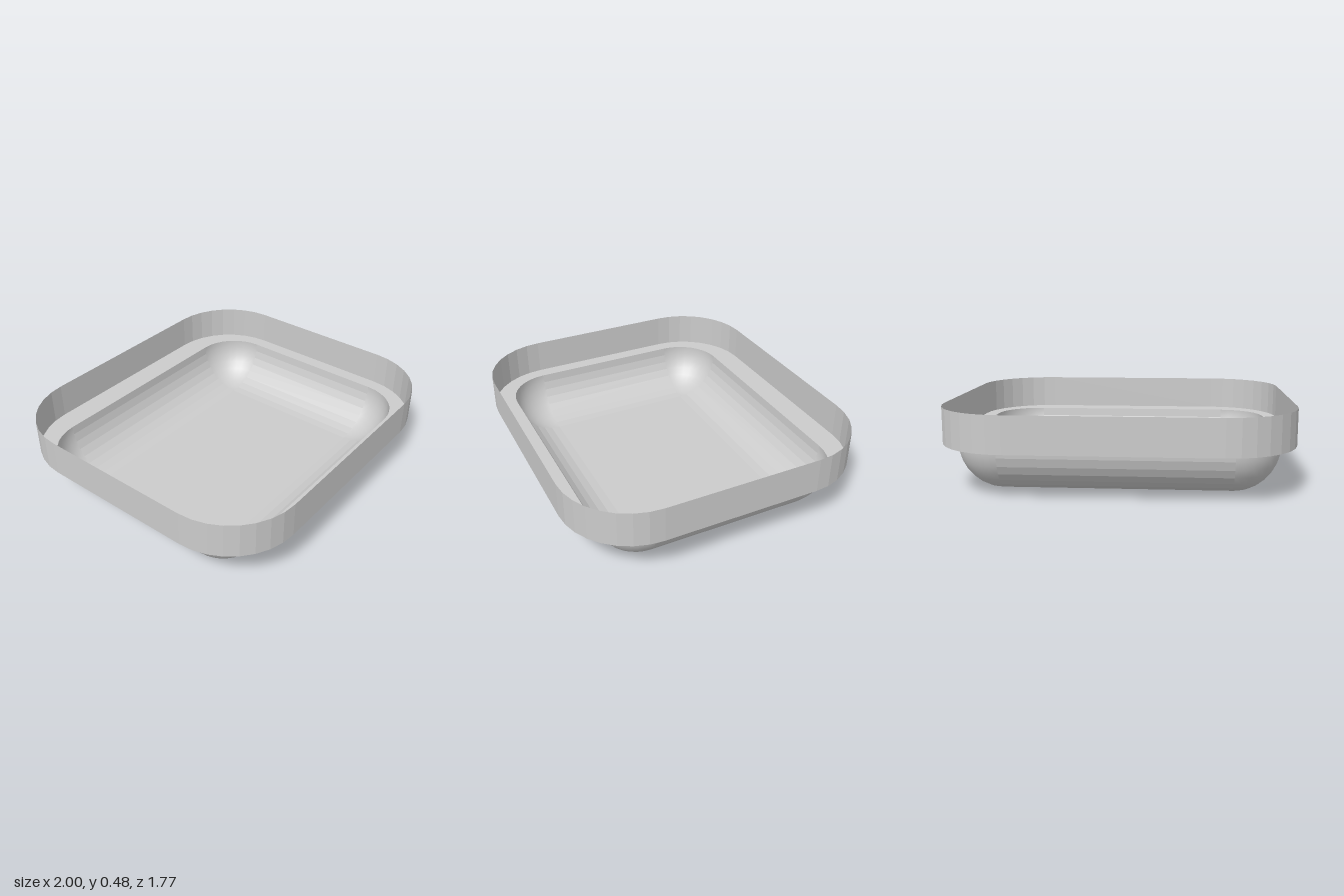
import * as THREE from 'three';

const RIM = { x: 1, z: 0.885, r: 0.42 };
const BOWL = { x: 0.915, z: 0.74, r: 0.27 };
const LEDGE_Y = 0.27, TOP_Y = 0.48, SEG = 8;

// Rounded rectangle outline, SEG straight steps per corner
function outline({ x, z, r }) {
  const pts = [];
  for (let c = 0; c < 4; c++) {
    const cx = (c === 0 || c === 3 ? 1 : -1) * (x - r);
    const cz = (c < 2 ? 1 : -1) * (z - r);
    for (let i = 0; i <= SEG; i++) {
      const a = (c + i / SEG) * Math.PI / 2;
      pts.push(new THREE.Vector2(cx + r * Math.cos(a), cz + r * Math.sin(a)));
    }
  }
  return pts;
}

// Thin upright wall following a closed outline
function wallGeometry(pts, y0, y1) {
  const pos = [], index = [];
  pts.forEach((p, i) => {
    pos.push(p.x, y0, -p.y, p.x, y1, -p.y);
    const a = 2 * i, b = 2 * ((i + 1) % pts.length);
    index.push(a, b, b + 1, a, b + 1, a + 1);
  });
  const g = new THREE.BufferGeometry();
  g.setAttribute('position', new THREE.Float32BufferAttribute(pos, 3));
  g.setIndex(index);
  g.computeVertexNormals();
  return g;
}

export function createModel() {
  const group = new THREE.Group();
  const smooth = new THREE.MeshStandardMaterial({ color: 0xcccccc, side: THREE.DoubleSide });
  const flat = new THREE.MeshStandardMaterial({ color: 0xcccccc, side: THREE.DoubleSide, flatShading: true });
  const add = (name, geometry, material, parent = group) => {
    const mesh = new THREE.Mesh(geometry, material);
    mesh.name = name;
    parent.add(mesh);
    return mesh;
  };

  // Upright rim
  add('rimWall', wallGeometry(outline(RIM), LEDGE_Y, TOP_Y), flat);

  // Flat ledge between rim and bowl
  const ledge = new THREE.Shape(outline(RIM));
  ledge.holes.push(new THREE.Path(outline(BOWL)));
  add('ledge', new THREE.ShapeGeometry(ledge).rotateX(-Math.PI / 2).translate(0, LEDGE_Y, 0), flat);

  // Bowl: flat floor, faceted quarter-round sides, smooth spherical corners
  const bowl = new THREE.Group();
  bowl.name = 'bowl';
  group.add(bowl);
  const r = BOWL.r, hx = BOWL.x - r, hz = BOWL.z - r;
  add('floor', new THREE.PlaneGeometry(2 * hx, 2 * hz).rotateX(-Math.PI / 2), flat, bowl);
  for (let k = 0; k < 4; k++) {
    const [half, out] = k % 2 ? [hz, hx] : [hx, hz];
    const side = new THREE.CylinderGeometry(r, r, 2 * half, SEG, 1, true, -Math.PI / 2, Math.PI / 2)
      .rotateZ(Math.PI / 2).translate(0, r, out).rotateY(k * Math.PI / 2);
    add('bowlSide', side, flat, bowl);

    const corner = new THREE.SphereGeometry(r, SEG, SEG, k * Math.PI / 2, Math.PI / 2, Math.PI / 2, Math.PI / 2)
      .translate(k === 1 || k === 2 ? hx : -hx, r, k < 2 ? hz : -hz);
    add('bowlCorner', corner, smooth, bowl);
  }
  return group;
}
